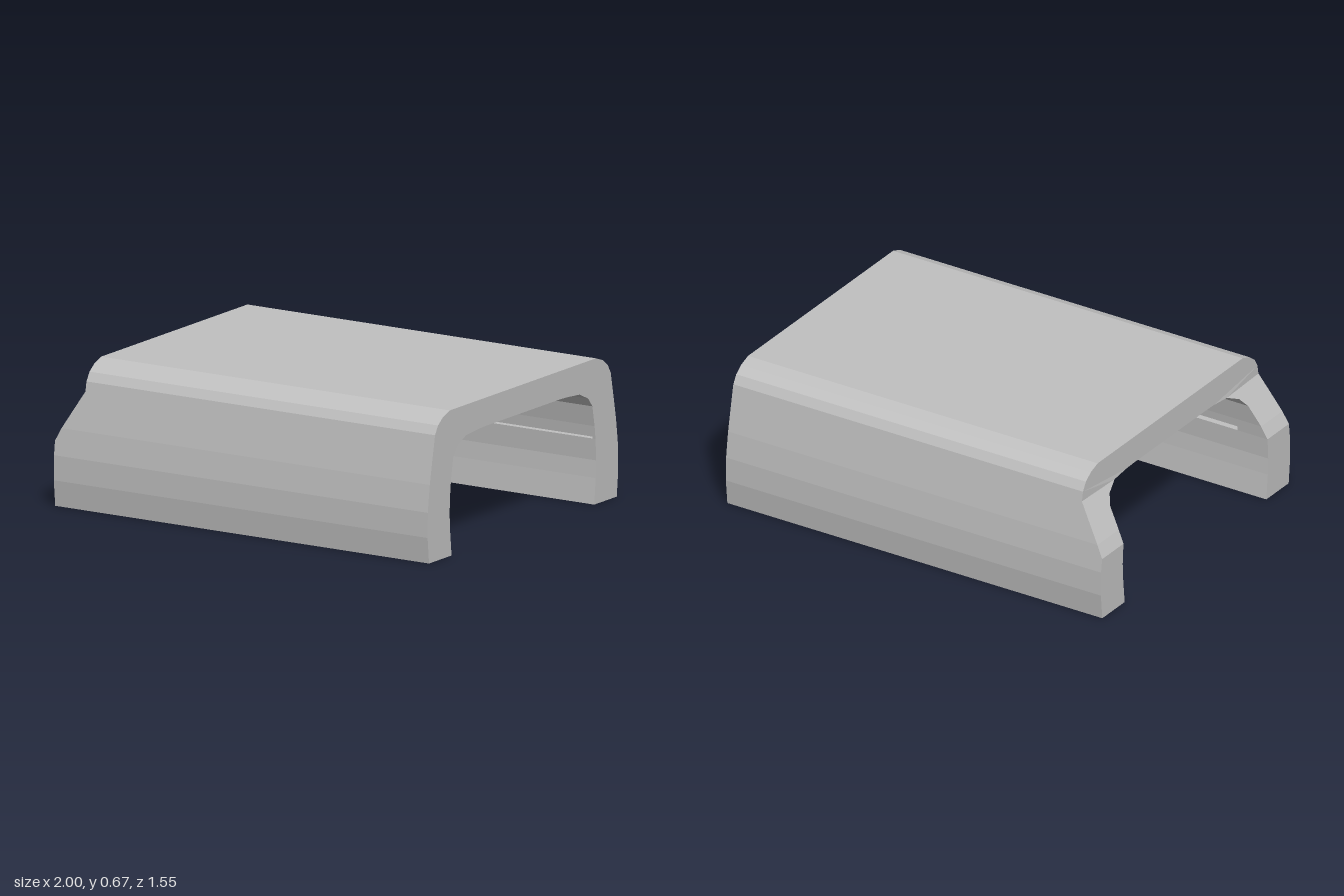
import * as THREE from 'three';

const grey = new THREE.MeshStandardMaterial({ color: 0xc0c0c0, side: THREE.DoubleSide });
grey.name = 'lightGrey';

function add(parent, name, geometry, x = 0, y = 0, z = 0) {
  const mesh = new THREE.Mesh(geometry, grey);
  mesh.name = name;
  mesh.position.set(x, y, z);
  parent.add(mesh);
  return mesh;
}

// Half section of the arch: outer z, outer y, inner z, inner y
const section = [
  [0.763, 0, 0.58, 0], [0.775, 0.12, 0.592, 0.12], [0.773, 0.235, 0.596, 0.2],
  [0.765, 0.3, 0.59, 0.3], [0.757, 0.36, 0.583, 0.36], [0.738, 0.46, 0.565, 0.455],
  [0.73, 0.5, 0.53, 0.498], [0.723, 0.535, 0.46, 0.53], [0.714, 0.58, 0.36, 0.538],
  [0.69, 0.62, 0.3, 0.54], [0.65, 0.65, 0.2, 0.54], [0.594, 0.67, 0.1, 0.54],
  [0, 0.67, 0, 0.54],
];
const recessRow = 3;
const recesses = [[-0.84, -0.07], [-0.05, 0.985]];
const recessDepth = 0.03;

// Notched end of the arch: x as a function of height
function endX(y) {
  if (y <= 0.3) return -1;
  if (y <= 0.36) return -1 + (y - 0.3) * 0.5;
  return Math.min(-0.865, -0.97 + (y - 0.36) * 0.6);
}

function archGeometry() {
  const pos = [];
  for (const s of [1, -1]) {
    const quad = (a, b, c, d) => {
      const p = s > 0 ? [a, b, c, a, c, d] : [a, c, b, a, d, c];
      for (const [x, y, z] of p) pos.push(x, y, z * s);
    };
    for (let i = 0; i < section.length - 1; i++) {
      const [zo, yo, zi, yi] = section[i], [Zo, Yo, Zi, Yi] = section[i + 1];
      const ox = endX(yo), Ox = endX(Yo), ix = endX(yi), Ix = endX(Yi);
      // outer skin and both end faces
      quad([ox, yo, zo], [1, yo, zo], [1, Yo, Zo], [Ox, Yo, Zo]);
      quad([1, yo, zo], [1, yi, zi], [1, Yi, Zi], [1, Yo, Zo]);
      quad([Ox, Yo, Zo], [Ix, Yi, Zi], [ix, yi, zi], [ox, yo, zo]);
      // inner skin, with long recesses in one row
      const inner = (a, A, b, d = 0) =>
        quad([A, Yi, Zi + d], [b, Yi, Zi + d], [b, yi, zi + d], [a, yi, zi + d]);
      if (i !== recessRow) { inner(ix, Ix, 1); continue; }
      let a = ix, A = Ix;
      for (const [x0, x1] of recesses) {
        const D = recessDepth;
        inner(a, A, x0);
        inner(x0, x0, x1, D);
        quad([x0, yi, zi], [x0, yi, zi + D], [x1, yi, zi + D], [x1, yi, zi]);
        quad([x1, Yi, Zi], [x1, Yi, Zi + D], [x0, Yi, Zi + D], [x0, Yi, Zi]);
        quad([x0, Yi, Zi], [x0, Yi, Zi + D], [x0, yi, zi + D], [x0, yi, zi]);
        quad([x1, yi, zi], [x1, yi, zi + D], [x1, Yi, Zi + D], [x1, Yi, Zi]);
        a = A = x1;
      }
      inner(a, A, 1);
    }
    const [zo, , zi] = section[0];
    quad([-1, 0, zi], [1, 0, zi], [1, 0, zo], [-1, 0, zo]);
  }
  const g = new THREE.BufferGeometry();
  g.setAttribute('position', new THREE.Float32BufferAttribute(pos, 3));
  g.computeVertexNormals();
  return g;
}

// Rectangular frame across z and y, rounded at the bottom, extruded along x
function frameGeometry(halfW, y0, y1, wall, depth, r) {
  const outline = (path, w, b, t, rad) => {
    path.moveTo(-w, t);
    path.lineTo(-w, b + rad);
    path.quadraticCurveTo(-w, b, -w + rad, b);
    path.lineTo(w - rad, b);
    path.quadraticCurveTo(w, b, w, b + rad);
    path.lineTo(w, t);
    path.closePath();
    return path;
  };
  const shape = outline(new THREE.Shape(), halfW, y0, y1, r);
  shape.holes.push(outline(new THREE.Path(), halfW - wall, y0 + wall, y1 - 0.012, 0.002));
  const g = new THREE.ExtrudeGeometry(shape, { depth, bevelEnabled: false, curveSegments: 5 });
  return g.rotateY(Math.PI / 2);
}

// Cage with two round lamps
function createLampCage() {
  const cage = new THREE.Group();
  cage.name = 'lampCage';
  add(cage, 'cageFrame', frameGeometry(0.248, 0.29, 0.545, 0.03, 0.145, 0.035), 0.3);
  for (const z of [-0.092, 0.092]) {
    add(cage, 'lampGlobe', new THREE.SphereGeometry(0.092, 28, 18), 0.37, 0.42, z);
    add(cage, 'lampFoot', new THREE.BoxGeometry(0.04, 0.035, 0.035), 0.37, 0.325, z);
    add(cage, 'lampHanger', new THREE.BoxGeometry(0.03, 0.04, 0.03), 0.37, 0.525, z);
    // small star of ribs on the front of each globe
    for (let k = 0; k < 8; k++) {
      const rib = add(cage, 'lampRib', new THREE.BoxGeometry(0.008, 0.018, 0.006).translate(0, 0.019, 0),
        0.459, 0.42, z);
      rib.rotation.x = k * Math.PI / 4;
    }
  }
  return cage;
}

// Open housing further along the ceiling
function createHousing() {
  const housing = new THREE.Group();
  housing.name = 'housing';
  add(housing, 'housingFrame', frameGeometry(0.185, 0.33, 0.545, 0.02, 0.12, 0.012), -0.47);
  add(housing, 'housingDivider', new THREE.BoxGeometry(0.1, 0.2, 0.02), -0.41, 0.435, 0);
  for (const y of [0.36, 0.49])
    add(housing, 'housingBar', new THREE.BoxGeometry(0.03, 0.025, 0.35), -0.37, y, 0);
  return housing;
}

// Small slotted clip in the ceiling corner
function createClip(x, side) {
  const clip = new THREE.Group();
  clip.name = 'ceilingClip';
  for (const e of [-1, 1]) {
    add(clip, 'clipSide', new THREE.BoxGeometry(0.016, 0.034, 0.1), e * 0.045, 0, 0);
    add(clip, 'clipEnd', new THREE.BoxGeometry(0.1, 0.034, 0.016), 0, 0, e * 0.042);
  }
  add(clip, 'clipBase', new THREE.BoxGeometry(0.09, 0.012, 0.09), 0, 0.011, 0);
  add(clip, 'clipBar', new THREE.BoxGeometry(0.05, 0.026, 0.022), 0, 0, 0);
  clip.position.set(x, 0.502, side * 0.496);
  clip.rotation.x = side * 0.32;
  return clip;
}

export function createModel() {
  const model = new THREE.Group();
  model.name = 'archedCover';
  add(model, 'archShell', archGeometry());
  model.add(createLampCage(), createHousing());
  for (const side of [-1, 1])
    for (const x of [-0.25, -0.59]) model.add(createClip(x, side));
  return model;
}
